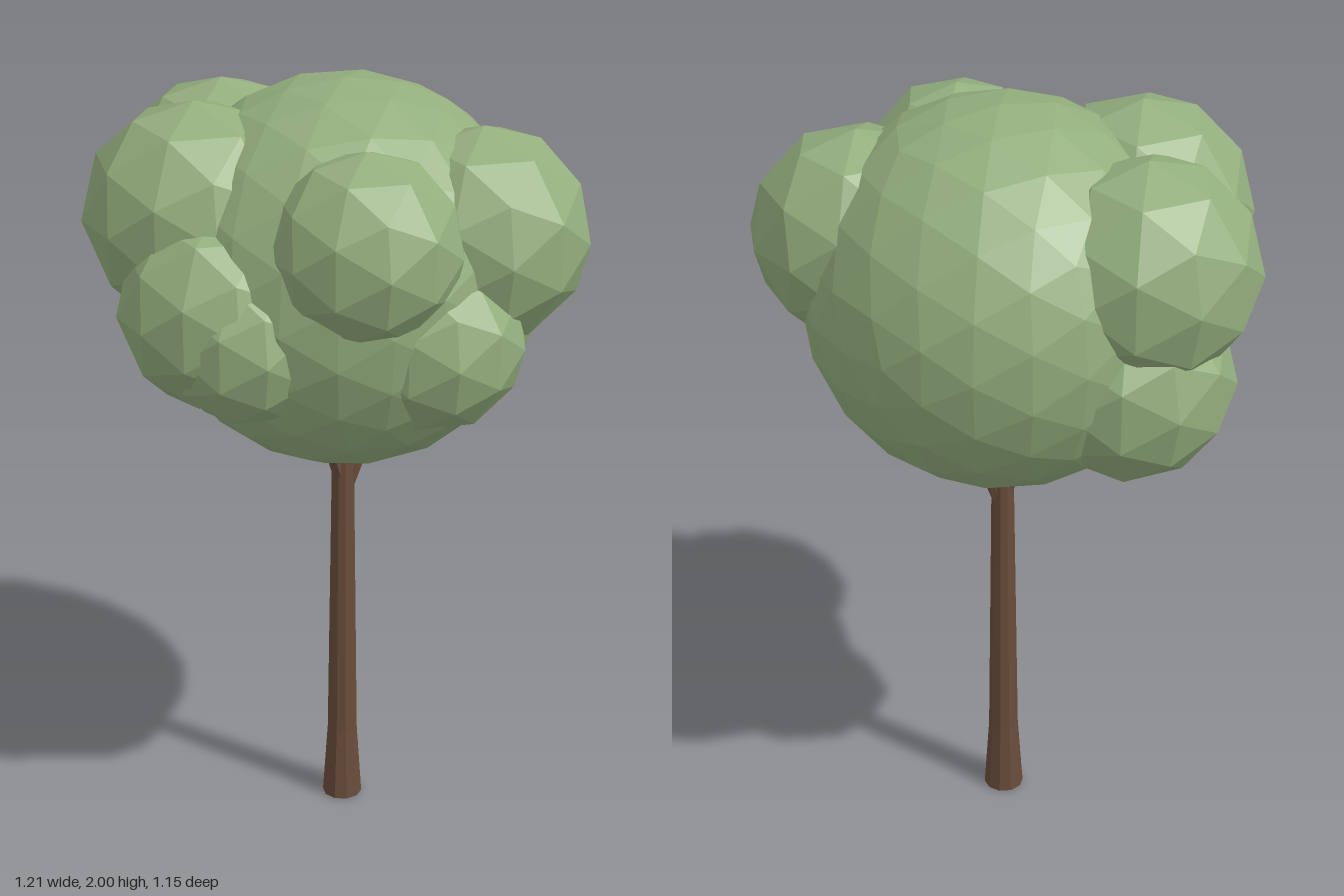
import * as THREE from 'three';

export function createModel() {
  const leaf = new THREE.MeshStandardMaterial({ color: 0x93ae7d, flatShading: true });
  leaf.name = 'leaf green';
  const bark = new THREE.MeshStandardMaterial({ color: 0x694d3b, flatShading: true });
  bark.name = 'bark brown';

  const tree = new THREE.Group();
  tree.name = 'tree';
  const add = (name, geometry, material, x, y, z) => {
    const mesh = new THREE.Mesh(geometry, material);
    mesh.name = name;
    mesh.position.set(x, y, z);
    tree.add(mesh);
    return mesh;
  };

  // Trunk: flared foot, slow taper, hidden top inside the crown
  const profile = [[0, 0], [0.052, 0], [0.039, 0.2], [0.029, 0.95], [0.022, 1.2], [0, 1.2]];
  add('trunk', new THREE.LatheGeometry(profile.map(([r, y]) => new THREE.Vector2(r, y)), 10),
    bark, 0.04, 0, -0.007);

  // Three branches forking out just under the crown: direction angle, reach
  for (const [a, reach] of [[0, 0.11], [2.65, 0.1], [-2.65, 0.1]]) {
    const start = new THREE.Vector3(0.045, 0.9, -0.007);
    const end = new THREE.Vector3(0.045 + Math.cos(a) * reach, 1.18, -0.007 + Math.sin(a) * reach);
    const dir = end.clone().sub(start);
    const branch = add('branch', new THREE.CylinderGeometry(0.012, 0.018, dir.length(), 6), bark,
      ...start.clone().lerp(end, 0.5).toArray());
    branch.quaternion.setFromUnitVectors(new THREE.Vector3(0, 1, 0), dir.normalize());
  }

  // Main crown
  add('crown', new THREE.IcosahedronGeometry(1, 3), leaf, 0.04, 1.512, 0).scale.set(0.49, 0.488, 0.497);

  // Smaller leaf clumps around it: x, y, z, radius
  const clumps = [
    [0.01, 1.683, 0.337, 0.238],
    [0.335, 1.645, 0.188, 0.27],
    [-0.325, 1.68, -0.025, 0.28],
    [-0.205, 1.652, -0.297, 0.281],
    [-0.165, 1.38, -0.31, 0.257],
    [-0.305, 1.495, 0.153, 0.25],
    [-0.248, 1.443, 0.228, 0.213],
    [0.19, 1.428, 0.303, 0.224],
  ];
  for (const [x, y, z, r] of clumps) {
    add('leafClump', new THREE.IcosahedronGeometry(r, 1), leaf, x, y, z);
  }
  return tree;
}
